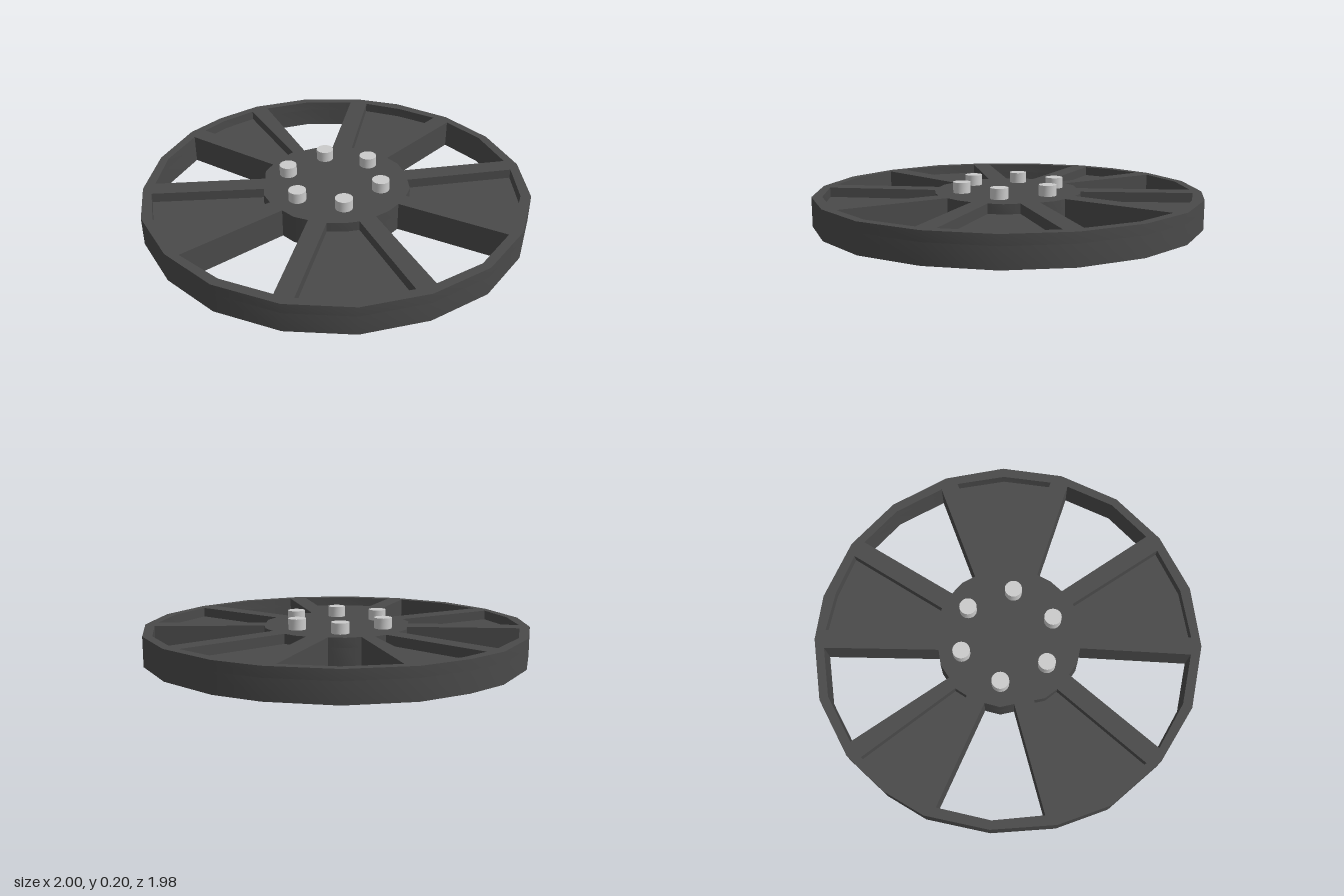
import * as THREE from 'three';
import { toCreasedNormals } from 'three/addons/utils/BufferGeometryUtils.js';

const HEIGHT = 0.15, FLOOR = 0.1;

// Outlines are [x, z] corners seen from above
const rimOutline = [
  [1, 0], [0.94, -0.33], [0.785, -0.62], [0.545, -0.838], [0.24, -0.97], [-0.08, -0.997],
  [-0.4, -0.917], [-0.61, -0.795], [-0.84, -0.56], [-0.975, -0.265], [-1, -0.01], [-0.975, 0.215],
  [-0.84, 0.51], [-0.63, 0.755], [-0.4, 0.91], [-0.08, 0.987], [0.24, 0.965], [0.545, 0.83],
  [0.785, 0.61], [0.94, 0.32],
];

// Openings between the spokes, cut right through
const openings = [
  [[0.37, -0.085], [0.38, -0.005], [0.37, 0.075], [0.905, 0.257], [0.955, 0], [0.905, -0.265]],
  [[0.015, -0.382], [0.095, -0.377], [0.165, -0.345], [0.475, -0.815], [0.22, -0.927], [-0.03, -0.948]],
  [[0.015, 0.37], [0.095, 0.367], [0.165, 0.335], [0.475, 0.81], [0.23, 0.917], [-0.03, 0.943]],
  [[-0.275, -0.245], [-0.333, -0.185], [-0.36, -0.11], [-0.91, -0.297], [-0.8, -0.538], [-0.617, -0.725]],
  [[-0.275, 0.238], [-0.33, 0.19], [-0.36, 0.115], [-0.91, 0.24], [-0.8, 0.49], [-0.628, 0.682]],
];

// Shallow pockets on top of the spokes
const pockets = [
  [[0.555, -0.765], [0.745, -0.585], [0.87, -0.355], [0.345, -0.168], [0.31, -0.238], [0.245, -0.29]],
  [[0.555, 0.762], [0.745, 0.575], [0.87, 0.35], [0.345, 0.163], [0.31, 0.22], [0.245, 0.286]],
  [[-0.125, -0.938], [-0.35, -0.875], [-0.537, -0.783], [-0.2, -0.323], [-0.152, -0.355], [-0.083, -0.372]],
  [[-0.13, 0.933], [-0.36, 0.87], [-0.558, 0.75], [-0.2, 0.307], [-0.157, 0.345], [-0.083, 0.366]],
  [[-0.938, -0.205], [-0.955, -0.01], [-0.933, 0.147], [-0.382, 0.02], [-0.387, -0.05]],
];

const studSpots = [
  [-0.01, -0.255], [0.21, -0.125], [0.205, 0.132], [-0.01, 0.248], [-0.23, 0.118], [-0.22, -0.137],
];

const toPoints = (outline) => outline.map(([x, z]) => new THREE.Vector2(x, -z));

// Horizontal slab from y0 to y1 with cut-outs
function slab(name, holes, y0, y1, material) {
  const shape = new THREE.Shape(toPoints(rimOutline));
  shape.holes = holes.map((h) => new THREE.Path(toPoints(h)));
  const geometry = new THREE.ExtrudeGeometry(shape, { depth: y1 - y0, bevelEnabled: false });
  geometry.rotateX(-Math.PI / 2).translate(0, y0, 0);
  const mesh = new THREE.Mesh(toCreasedNormals(geometry, 0.5), material);
  mesh.name = name;
  return mesh;
}

export function createModel() {
  const group = new THREE.Group();
  group.name = 'wheel';
  const dark = new THREE.MeshStandardMaterial({ color: 0x4a4a4a });
  const grey = new THREE.MeshStandardMaterial({ color: 0xcccccc });

  // Disc: solid spokes below, raised edging around the pockets above
  const disc = new THREE.Group();
  disc.name = 'disc';
  disc.add(
    slab('spokesAndRim', openings, 0, FLOOR, dark),
    slab('raisedEdging', [...openings, ...pockets], FLOOR, HEIGHT, dark),
  );

  // Ring of wheel studs on the hub
  const studs = new THREE.Group();
  studs.name = 'studs';
  const studGeometry = toCreasedNormals(new THREE.CylinderGeometry(0.045, 0.045, 0.08, 20), 0.5);
  for (const [x, z] of studSpots) {
    const stud = new THREE.Mesh(studGeometry, grey);
    stud.name = 'stud';
    stud.position.set(x, 0.165, z);
    studs.add(stud);
  }

  disc.position.z = studs.position.z = 0.005;
  group.add(disc, studs);
  return group;
}
